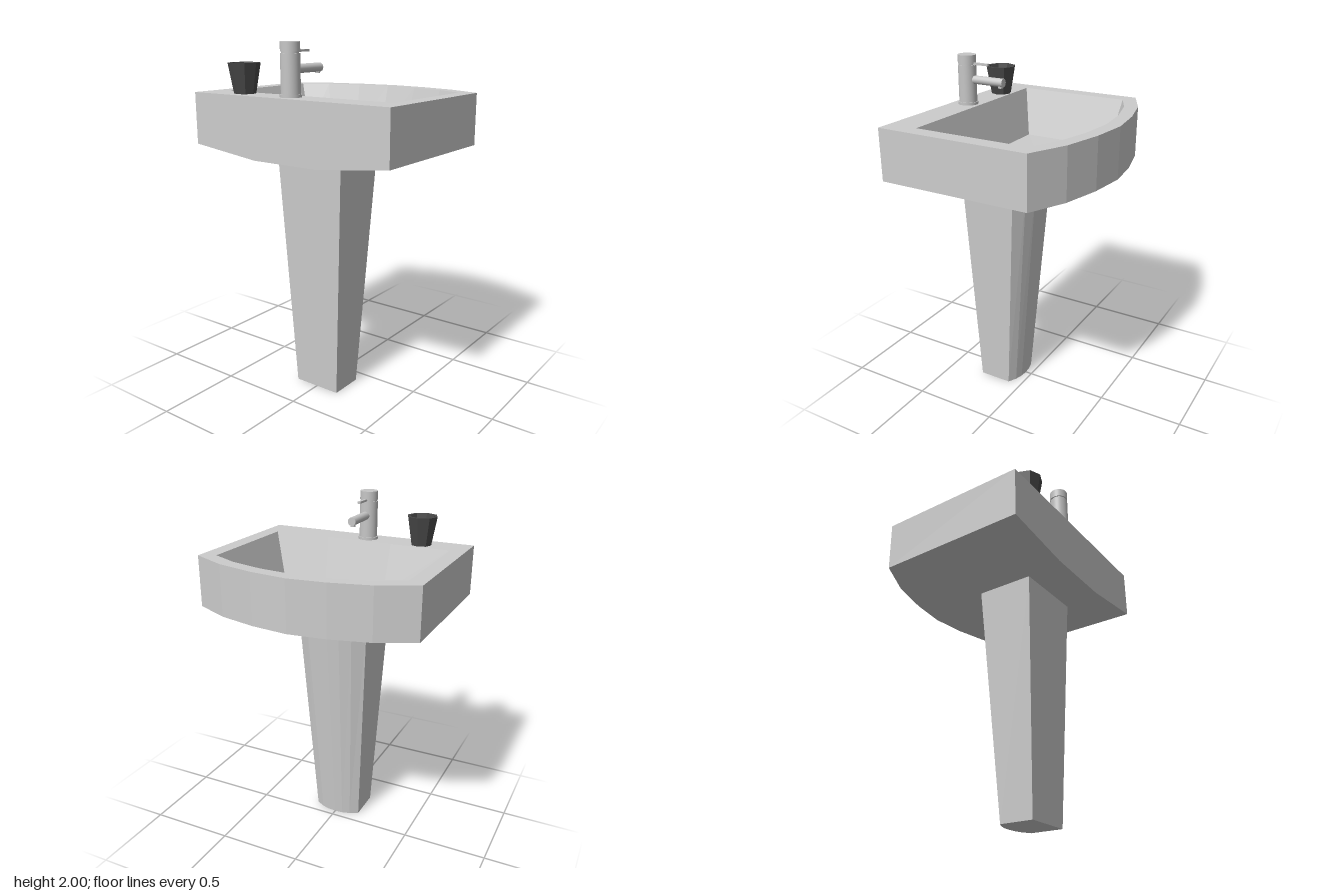
import * as THREE from 'three';

const ceramic = new THREE.MeshStandardMaterial({ color: 0xcccccc });
ceramic.name = 'ceramic';
const chrome = new THREE.MeshStandardMaterial({ color: 0xc6c6c6 });
chrome.name = 'chrome';
const dark = new THREE.MeshStandardMaterial({ color: 0x484848 });
dark.name = 'dark';

// Faceted skin through rings of equal point count
function loft(rings) {
  const pos = [];
  for (let r = 0; r < rings.length - 1; r++) {
    const n = rings[r].length;
    for (let i = 0; i < n; i++) {
      const j = (i + 1) % n;
      const a = rings[r][i], b = rings[r][j], c = rings[r + 1][j], d = rings[r + 1][i];
      pos.push(...a, ...d, ...b, ...b, ...d, ...c);
    }
  }
  const g = new THREE.BufferGeometry();
  g.setAttribute('position', new THREE.Float32BufferAttribute(pos, 3));
  g.computeVertexNormals();
  return g;
}

// Full ring from one half, listed from the back middle to the front middle
function ring(half, y, backY = y) {
  const side = half.map(([x, z], i) => [x, i === 0 ? backY : y, -z]);
  const other = side.slice(0, -1).reverse().map(([x, h, z]) => [x, h, -z]);
  return [...side, ...other];
}

const point = (x, y, z) => Array(11).fill([x, y, z]);

function flat(geometry) {
  const g = geometry.toNonIndexed();
  g.computeVertexNormals();
  return g;
}

// D-shaped pedestal section
function pedestalRing(x0, x1, hz, y) {
  const d = x1 - x0;
  return ring([[x0, hz], [x0, hz], [x0 + 0.82 * d, hz], [x0 + 0.93 * d, 0.66 * hz],
    [x0 + 0.985 * d, 0.33 * hz], [x1, 0]], y);
}

export function createModel() {
  const model = new THREE.Group();
  const add = (name, geometry, material, x = 0, y = 0, z = 0, parent = model) => {
    const m = new THREE.Mesh(geometry, material);
    m.name = name;
    m.position.set(x, y, z);
    parent.add(m);
    return m;
  };

  // Pedestal
  const foot = pedestalRing(-0.28, -0.04, 0.145, 0);
  const neck = pedestalRing(-0.33, 0.08, 0.215, 1.35);
  add('pedestal', loft([point(-0.16, 0, 0), foot, neck]), ceramic);

  // Basin: underside, outer wall, rim, bowl wall and bowl floor
  const outer = [[-0.53, 0.21], [-0.53, 0.645], [0.35, 0.645], [0.45, 0.437], [0.505, 0.215], [0.53, 0]];
  const rim = [[-0.355, 0.2], [-0.355, 0.555], [0.305, 0.555], [0.38, 0.4], [0.43, 0.2], [0.45, 0]];
  const floor = [[-0.29, 0.19], [-0.29, 0.472], [0.26, 0.472], [0.325, 0.345], [0.365, 0.175], [0.38, 0]];
  add('basin', loft([neck, ring(outer, 1.43, 1.38), ring(outer, 1.72), ring(rim, 1.72),
    ring(floor, 1.445), point(0.06, 1.435, -0.01)]), ceramic);

  // Drain plug
  const drain = add('drain', flat(new THREE.CylinderGeometry(0.044, 0.044, 0.025, 5)), dark, 0.06, 1.44, -0.014);
  drain.rotation.y = Math.PI / 2 - 0.1;

  // Tap: base flange, body, groove, cap, spout, nozzle and lever
  const tap = new THREE.Group();
  tap.name = 'tap';
  tap.position.set(-0.435, 1.72, -0.025);
  model.add(tap);
  const stack = (name, r, y0, y1) =>
    add(name, new THREE.CylinderGeometry(r, r, y1 - y0, 32), chrome, 0, (y0 + y1) / 2, 0, tap);
  stack('tapFlange', 0.058, 0, 0.015);
  stack('tapBody', 0.052, 0.015, 0.222);
  stack('tapGroove', 0.046, 0.222, 0.23);
  stack('tapCap', 0.052, 0.23, 0.28);
  const spout = add('spout', new THREE.CylinderGeometry(0.024, 0.024, 0.205, 16), chrome, 0.14, 0.142, 0, tap);
  spout.rotation.z = Math.PI / 2;
  add('nozzle', new THREE.CylinderGeometry(0.014, 0.014, 0.03, 12), chrome, 0.222, 0.126, 0, tap);
  add('lever', new THREE.BoxGeometry(0.115, 0.012, 0.016), chrome, 0.0875, 0.232, 0, tap);

  // Octagonal tumbler with a hollow inside
  const profile = [[0, 0], [0.06, 0], [0.089, 0.165], [0.074, 0.165], [0.052, 0.02], [0, 0.02]]
    .map(([r, y]) => new THREE.Vector2(r, y));
  add('tumbler', flat(new THREE.LatheGeometry(profile, 8)), dark, -0.423, 1.72, -0.363);

  return model;
}
